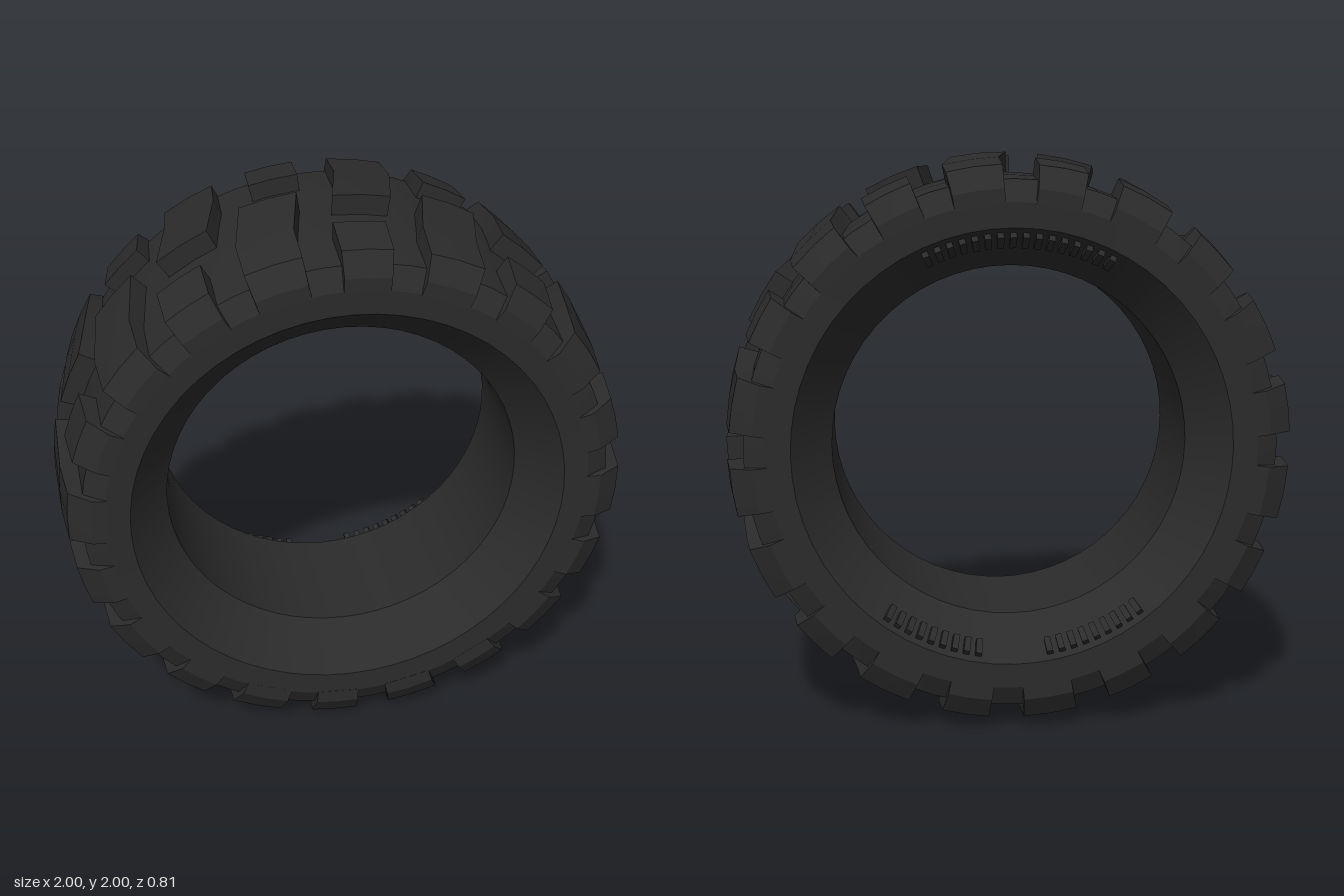
import * as THREE from 'three';
import { toCreasedNormals } from 'three/addons/utils/BufferGeometryUtils.js';

const rad = THREE.MathUtils.degToRad;

// Point at an angle clockwise from the top, around the z axle
const polar = (r, deg, z) => [r * Math.sin(rad(deg)), r * Math.cos(rad(deg)), z];

// Tread block lofted along z; each station is [z, shift in degrees, base radius, top radius]
function blockGeometry(stations, half) {
  const pos = [], idx = [], n = 5;
  for (const [z, shift, base, top] of stations) {
    pos.push(...polar(base, shift - half, z));
    for (const t of [-1, 0, 1]) pos.push(...polar(top, shift + t * half * 0.96, z));
    pos.push(...polar(base, shift + half, z));
  }
  const last = (stations.length - 1) * n;
  for (let j = 0; j < last; j += n) {
    for (let i = 0; i < n; i++) {
      const a = j + i, b = j + (i + 1) % n;
      idx.push(a, a + n, b, b, a + n, b + n);
    }
  }
  for (let i = 1; i < n - 1; i++) {
    idx.push(0, i, i + 1, last, last + i + 1, last + i);
  }
  const g = new THREE.BufferGeometry();
  g.setAttribute('position', new THREE.Float32BufferAttribute(pos, 3));
  g.setIndex(idx);
  return toCreasedNormals(g, rad(12));
}

export function createModel() {
  const model = new THREE.Group();
  model.name = 'tire';
  const rubber = new THREE.MeshStandardMaterial({ color: 0x2b2b2b });
  rubber.name = 'black rubber';

  const wheel = new THREE.Group();
  wheel.name = 'tireBody';
  wheel.position.y = 1;
  model.add(wheel);

  // Hollow casing with sidewalls and flared inner lips
  const outer = [[0.62, 0.235], [0.755, 0.4], [0.84, 0.402], [0.915, 0.365], [0.925, 0.2]];
  const profile = [
    ...outer.map(([r, z]) => [r, -z]), [0.93, 0],
    ...outer.slice().reverse(), [0.62, -0.235],
  ].map(([r, z]) => new THREE.Vector2(r, z));
  const casing = new THREE.Mesh(
    toCreasedNormals(new THREE.LatheGeometry(profile, 60).rotateX(Math.PI / 2), rad(20)), rubber);
  casing.name = 'casing';
  wheel.add(casing);

  // Front tread: bent long blocks alternating with short shoulder blocks
  const shoulder = [[0.2, 0, 0.89, 0.985], [0.36, 0, 0.87, 0.963], [0.405, 0, 0.835, 0.885]];
  const longGeo = blockGeometry([[-0.03, 2.6, 0.89, 1], ...shoulder], 5.9);
  const shortGeo = blockGeometry(shoulder, 5.2);
  const frontTread = new THREE.Group();
  frontTread.name = 'frontTread';
  for (let i = 0; i < 20; i++) {
    const isLong = i % 2 === 1;
    const block = new THREE.Mesh(isLong ? longGeo : shortGeo, rubber);
    block.name = isLong ? 'longTreadBlock' : 'shortTreadBlock';
    block.rotation.z = -rad(3.1 + 18 * i);
    frontTread.add(block);
  }
  wheel.add(frontTread);

  // Back tread: the same blocks turned half a turn about a radial axis
  const backTread = frontTread.clone();
  backTread.name = 'backTread';
  backTread.quaternion.setFromAxisAngle(new THREE.Vector3(...polar(1, -3.5, 0)), Math.PI);
  wheel.add(backTread);

  // Rows of small plain ribs on the back lip
  const ribGeo = new THREE.BoxGeometry(0.022, 0.03, 0.06);
  const ribs = new THREE.Group();
  ribs.name = 'lipRibs';
  for (const [from, to] of [[-27, 25], [143, 171], [190, 218]]) {
    for (let deg = from; deg <= to; deg += 3.4) {
      const arm = new THREE.Group();
      arm.name = 'lipRibArm';
      arm.rotation.z = -rad(deg);
      const rib = new THREE.Mesh(ribGeo, rubber);
      rib.name = 'lipRib';
      rib.position.set(0, 0.715, -0.362);
      rib.rotation.x = rad(39);
      arm.add(rib);
      ribs.add(arm);
    }
  }
  wheel.add(ribs);

  return model;
}
